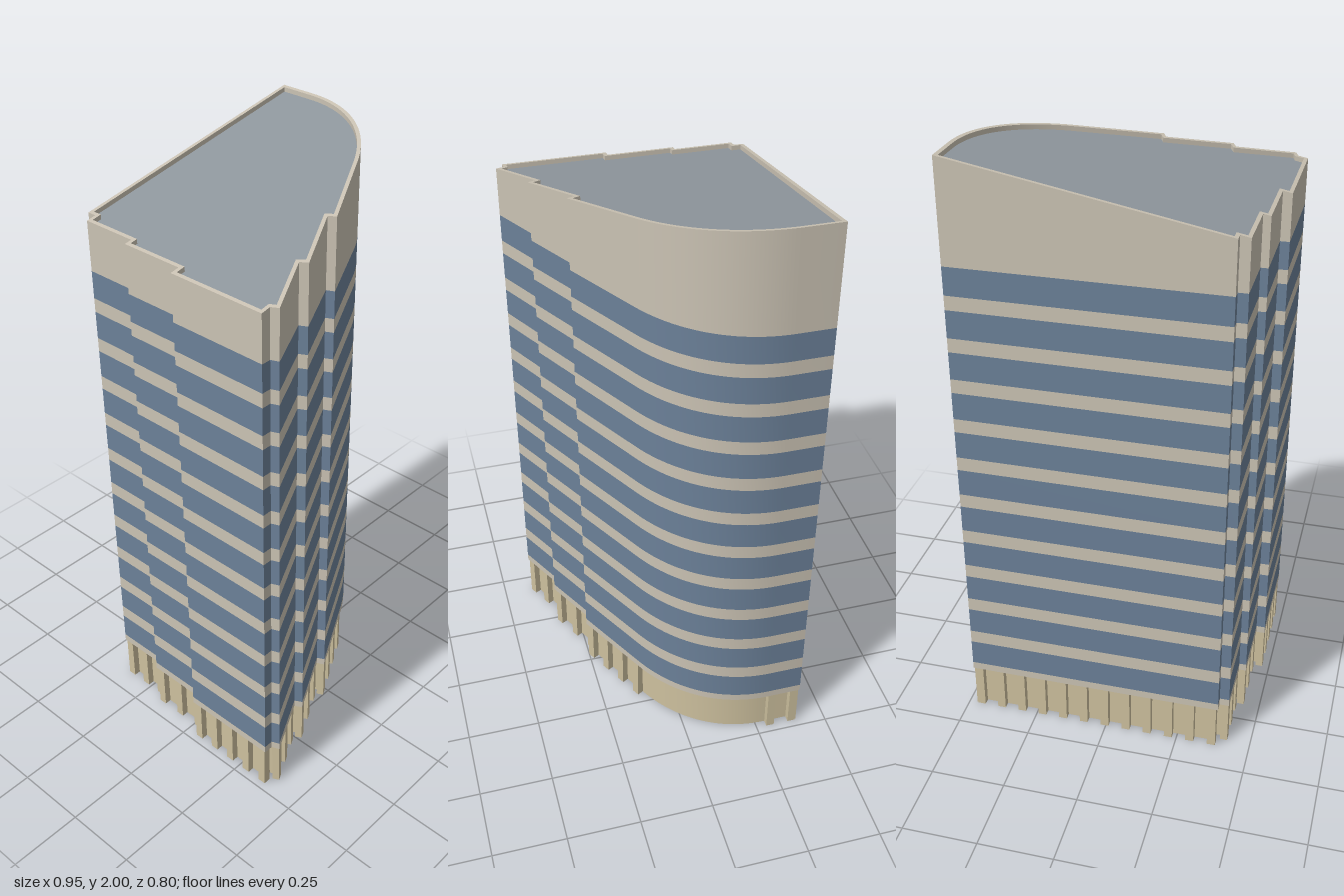
import * as THREE from 'three';
import { toCreasedNormals } from 'three/addons/utils/BufferGeometryUtils.js';

const material = (name, color, side = THREE.DoubleSide) => {
  const m = new THREE.MeshStandardMaterial({ color, side });
  m.name = name;
  return m;
};

const BASE = 0.16, GLASS_START = 0.186, GLASS_HEIGHT = 0.092, STOREY = 0.139, STOREYS = 11;
const slope = (x) => 1.822 + ((x + 0.477) / 0.952) * 0.178; // slanted roof line
const level = (y) => () => y;

// Footprint in (x, z): straight right end, curved corner, then stepped front and left sides
function footprint() {
  const v = (x, z) => new THREE.Vector2(x, z);
  const curve = new THREE.CubicBezierCurve(v(0.475, -0.28), v(0.475, -0.1), v(0.37, 0.04), v(0.22, 0.12));
  const steps = [
    [-0.033, 0.255], [-0.045, 0.23], [-0.242, 0.333], [-0.255, 0.308],
    [-0.435, 0.4], [-0.445, 0.375], [-0.477, 0.375], [-0.477, 0.037],
    [-0.447, 0.037], [-0.447, -0.18], [-0.423, -0.18], [-0.423, -0.37],
    [-0.391, -0.37], [-0.391, -0.4],
  ];
  return [v(0.475, -0.4), ...curve.getPoints(24), ...steps.map(([x, z]) => v(x, z))];
}

const outward = (a, b) => new THREE.Vector2(b.y - a.y, a.x - b.x).normalize();

// Move every side of a loop inwards by d, with mitred corners
function inset(loop, d) {
  const n = loop.length;
  return loop.map((p, i) => {
    const n1 = outward(loop[(i + n - 1) % n], p);
    const n2 = outward(p, loop[(i + 1) % n]);
    const miter = n1.clone().add(n2).divideScalar(1 + n1.dot(n2));
    return p.clone().addScaledVector(miter, -d);
  });
}

// Strip of quads between a lower loop and an upper loop, each with its own height rule
function strip(low, yLow, high, yHigh) {
  const pos = [];
  const put = (p, y) => pos.push(p.x, y(p.x), p.y);
  low.forEach((a, i) => {
    const j = (i + 1) % low.length;
    put(a, yLow); put(high[i], yHigh); put(high[j], yHigh);
    put(a, yLow); put(high[j], yHigh); put(low[j], yLow);
  });
  const g = new THREE.BufferGeometry();
  g.setAttribute('position', new THREE.Float32BufferAttribute(pos, 3));
  g.computeVertexNormals();
  return toCreasedNormals(g, 0.4);
}

export function createModel() {
  const group = new THREE.Group();
  group.name = 'officeTower';
  const stone = material('pale stone', 0xcac2b3);
  const glass = material('blue glass', 0x6b8098);
  const sand = material('sandstone', 0xcdc09e);
  const roofGrey = material('roof grey', 0x8f979e);

  const add = (name, geometry, mat, parent = group) => {
    const mesh = new THREE.Mesh(geometry, mat);
    mesh.name = name;
    parent.add(mesh);
    return mesh;
  };

  const outer = footprint();
  const inner = inset(outer, 0.012);
  const lobby = inset(outer, 0.025);

  // Facade: alternating glass bands and stone spandrels
  let y = BASE;
  for (let i = 0; i < STOREYS; i++) {
    const g0 = GLASS_START + i * STOREY, g1 = g0 + GLASS_HEIGHT;
    add('spandrel' + i, strip(outer, level(y), outer, level(g0)), stone);
    add('windowBand' + i, strip(outer, level(g0), outer, level(g1)), glass);
    y = g1;
  }

  // Crown with slanted parapet, inner lining and underside ledge
  add('crown', strip(outer, level(y), outer, slope), stone);
  add('parapetTop', strip(outer, slope, inner, slope), stone);
  add('innerLining', strip(inner, slope, inner, level(BASE)), stone);
  add('undersideLedge', strip(lobby, level(BASE), outer, level(BASE)), stone);

  // Slanted roof just below the parapet
  const roof = new THREE.ShapeGeometry(new THREE.Shape(inner.map((p) => new THREE.Vector2(p.x, -p.y)).reverse()));
  roof.rotateX(-Math.PI / 2);
  const rp = roof.attributes.position;
  for (let i = 0; i < rp.count; i++) rp.setY(i, slope(rp.getX(i)) - 0.015);
  roof.computeVertexNormals();
  add('roof', roof, roofGrey);

  // Recessed ground floor wall
  add('groundFloorWall', strip(lobby, level(0), lobby, level(BASE)), sand);

  // Piers along the straight sides of the ground floor
  const piers = new THREE.Group();
  piers.name = 'piers';
  group.add(piers);
  const pier = new THREE.BoxGeometry(0.028, BASE, 0.024);
  outer.forEach((a, i) => {
    const b = outer[(i + 1) % outer.length];
    const length = a.distanceTo(b);
    if (length < 0.1) return;
    const n = outward(a, b);
    const count = Math.round((length - 0.04) / 0.073);
    for (let k = 0; k <= count; k++) {
      const along = 0.02 + ((length - 0.04) * k) / count;
      const p = a.clone().lerp(b, along / length).addScaledVector(n, -0.014);
      const mesh = add('pier', pier, sand, piers);
      mesh.position.set(p.x, BASE / 2, p.y);
      mesh.rotation.y = Math.atan2(n.x, n.y);
    }
  });

  return group;
}
